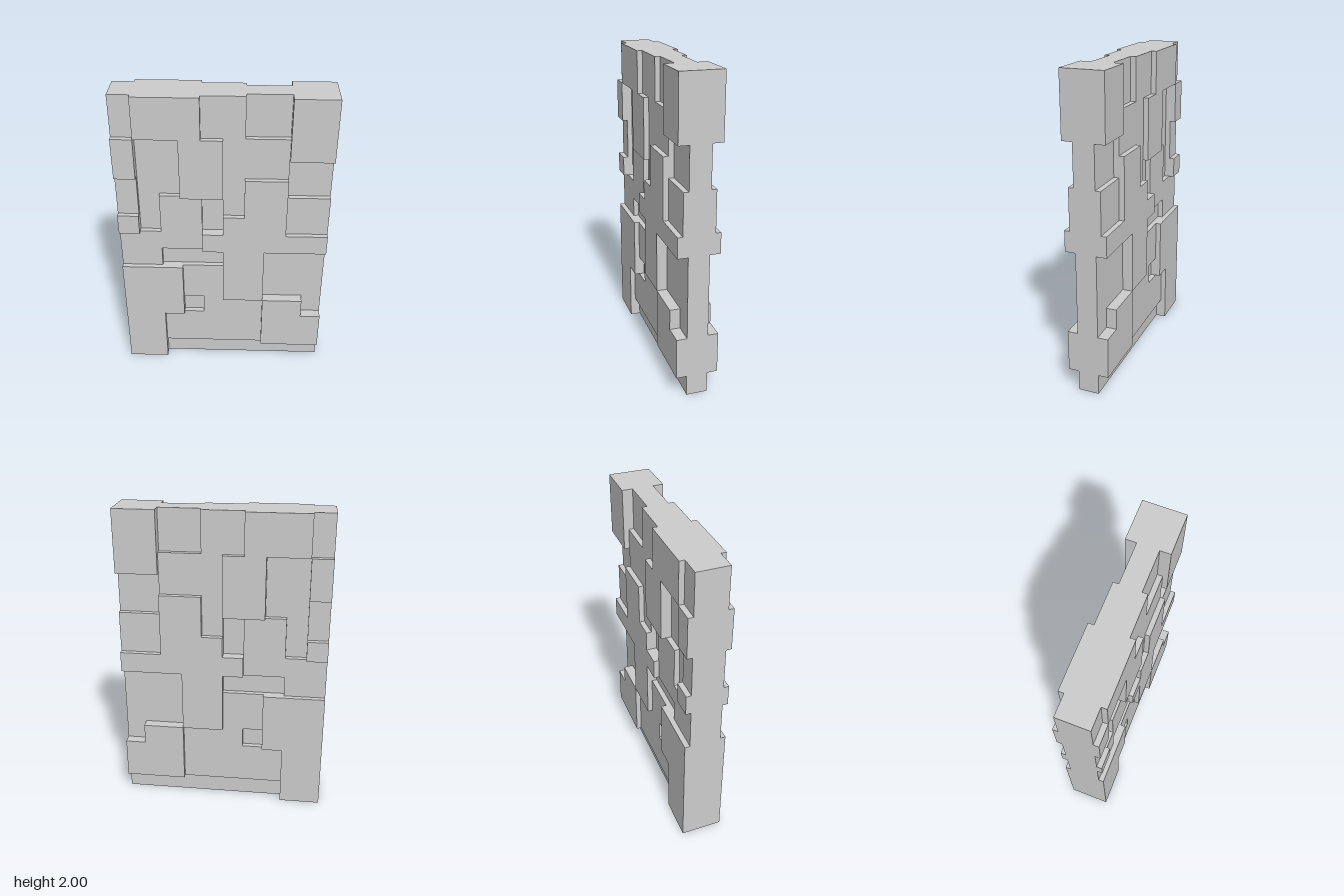
import * as THREE from 'three';

const CELL = 2 / 15;      // the slab is a grid of 10 x 15 cells
const STEP = CELL / 4;    // one relief step
const CORE = CELL / 2;    // half thickness of the core

// Relief outlines in grid cells, counter-clockwise: [x, y, x, y, ...]
const rect = (x0, y0, x1, y1) => [x0, y0, x1, y0, x1, y1, x0, y1];

const highPanels = {
  topLeftPanel: [1, 13, 3, 13, 3, 10, 5, 10, 5, 13, 4, 13, 4, 15, 1, 15],
  topCornerPanel: rect(8, 12, 10, 15),
  upperEdgePanel: rect(0, 11, 1, 13),
  middleEdgePanel: rect(0, 8, 1, 9),
  centrePanel: [4, 7, 5, 7, 5, 4, 7, 4, 7, 7, 10, 7, 10, 8, 8, 8, 8, 11, 6, 11, 6, 9, 5, 9, 5, 8, 4, 8],
  bottomCornerPanel: [0, 0, 2, 0, 2, 3, 3, 3, 3, 6, 0, 6],
  bottomSidePanel: [7, 1, 10, 1, 10, 3, 9, 3, 9, 4, 7, 4],
};

const lowPanels = {
  lowTopCornerPanel: rect(0, 13, 1, 15),
  lowEdgePanel: rect(0, 9, 1, 11),
  lowTopPanel: [4, 13, 5, 13, 5, 9, 6, 9, 6, 11, 8, 11, 8, 13, 6, 13, 6, 15, 4, 15],
  lowMiddlePanel: [0, 6, 2, 6, 2, 7, 4, 7, 4, 10, 2, 10, 2, 8, 0, 8],
  lowSidePanel: rect(8, 8, 10, 10),
  lowBottomPanel: [2, 1, 7, 1, 7, 4, 5, 4, 5, 6, 3, 6, 3, 4, 4, 4, 4, 3, 2, 3],
};

export function createModel() {
  const model = new THREE.Group();
  model.name = 'reliefSlab';
  const material = new THREE.MeshStandardMaterial({ color: 0xcccccc, flatShading: true });

  // Core slab
  const core = new THREE.Mesh(new THREE.BoxGeometry(10 * CELL, 15 * CELL, 2 * CORE), material);
  core.name = 'coreSlab';
  core.position.y = 1;
  model.add(core);

  // Raised panels, the same on front and back
  const addPanels = (panels, depth) => {
    for (const [name, cells] of Object.entries(panels)) {
      const points = [];
      for (let i = 0; i < cells.length; i += 2) {
        points.push(new THREE.Vector2((cells[i] - 5) * CELL, cells[i + 1] * CELL));
      }
      const geometry = new THREE.ExtrudeGeometry(new THREE.Shape(points), { depth, bevelEnabled: false });
      const panel = new THREE.Group();
      panel.name = name;
      for (const [side, z] of [['front', CORE], ['back', -CORE - depth]]) {
        const mesh = new THREE.Mesh(geometry, material);
        mesh.name = side + 'Relief';
        mesh.position.z = z;
        panel.add(mesh);
      }
      model.add(panel);
    }
  };
  addPanels(highPanels, 2 * STEP);
  addPanels(lowPanels, STEP);

  return model;
}
